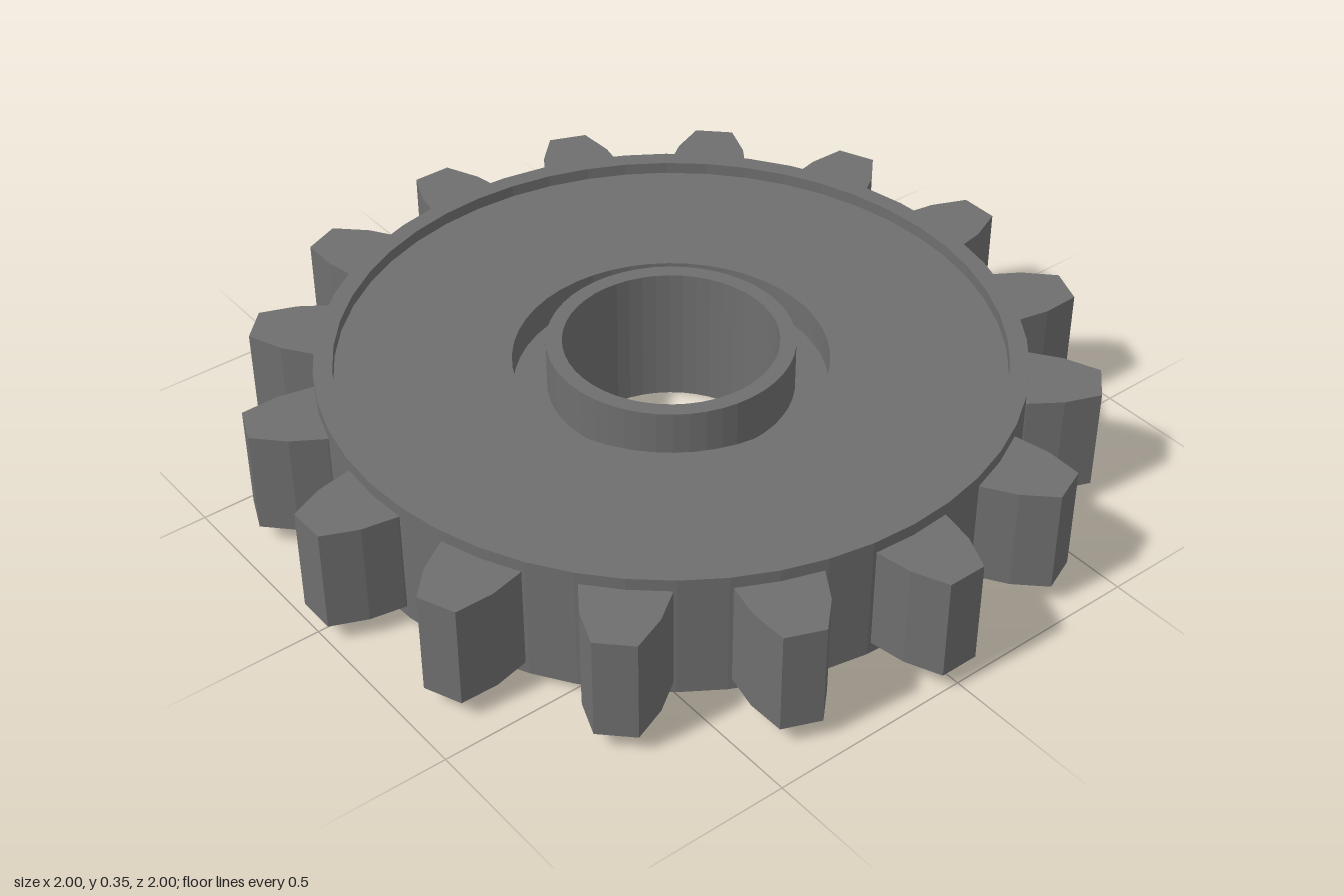
import * as THREE from 'three';

const TEETH = 16;
const SEGMENTS = 48;

export function createModel() {
  const gear = new THREE.Group();
  gear.name = 'gear';
  const material = new THREE.MeshStandardMaterial({ color: 0x6e6e6e, flatShading: true });

  // Turned ring from a closed cross-section of [radius, height], anticlockwise
  const turned = (name, profile) => {
    const points = [...profile, profile[0]].map(([r, y]) => new THREE.Vector2(r, y));
    const mesh = new THREE.Mesh(new THREE.LatheGeometry(points, SEGMENTS), material);
    mesh.name = name;
    gear.add(mesh);
  };

  // Wheel body: raised rim, recessed web, and a groove around the hub on both faces
  turned('wheelBody', [
    [0.27, 0.13], [0.373, 0.13], [0.373, 0.05], [0.788, 0.05], [0.788, 0.02], [0.833, 0.02],
    [0.833, 0.34], [0.788, 0.34], [0.788, 0.31], [0.373, 0.31], [0.373, 0.23], [0.27, 0.23],
  ]);

  // Hub sleeve with open bore
  turned('hub', [[0.255, 0], [0.293, 0], [0.293, 0.355], [0.255, 0.355]]);

  // Tapered tooth outline, pointing along +y of the shape, root sunk into the rim
  const half = [[0.1, 0.8], [0.1, 0.83], [0.085, 0.915], [0.048, 1]];
  const outline = [...half, ...half.map(([x, y]) => [-x, y]).reverse()];
  const toothShape = new THREE.Shape(outline.map(([x, y]) => new THREE.Vector2(x, y)));
  const toothGeometry = new THREE.ExtrudeGeometry(toothShape, { depth: 0.26, bevelEnabled: false });
  toothGeometry.rotateX(-Math.PI / 2).translate(0, 0.05, 0);

  const teeth = new THREE.Group();
  teeth.name = 'teeth';
  for (let i = 0; i < TEETH; i++) {
    const tooth = new THREE.Mesh(toothGeometry, material);
    tooth.name = `tooth${i + 1}`;
    tooth.rotation.y = (i / TEETH) * Math.PI * 2;
    teeth.add(tooth);
  }
  gear.add(teeth);

  return gear;
}
